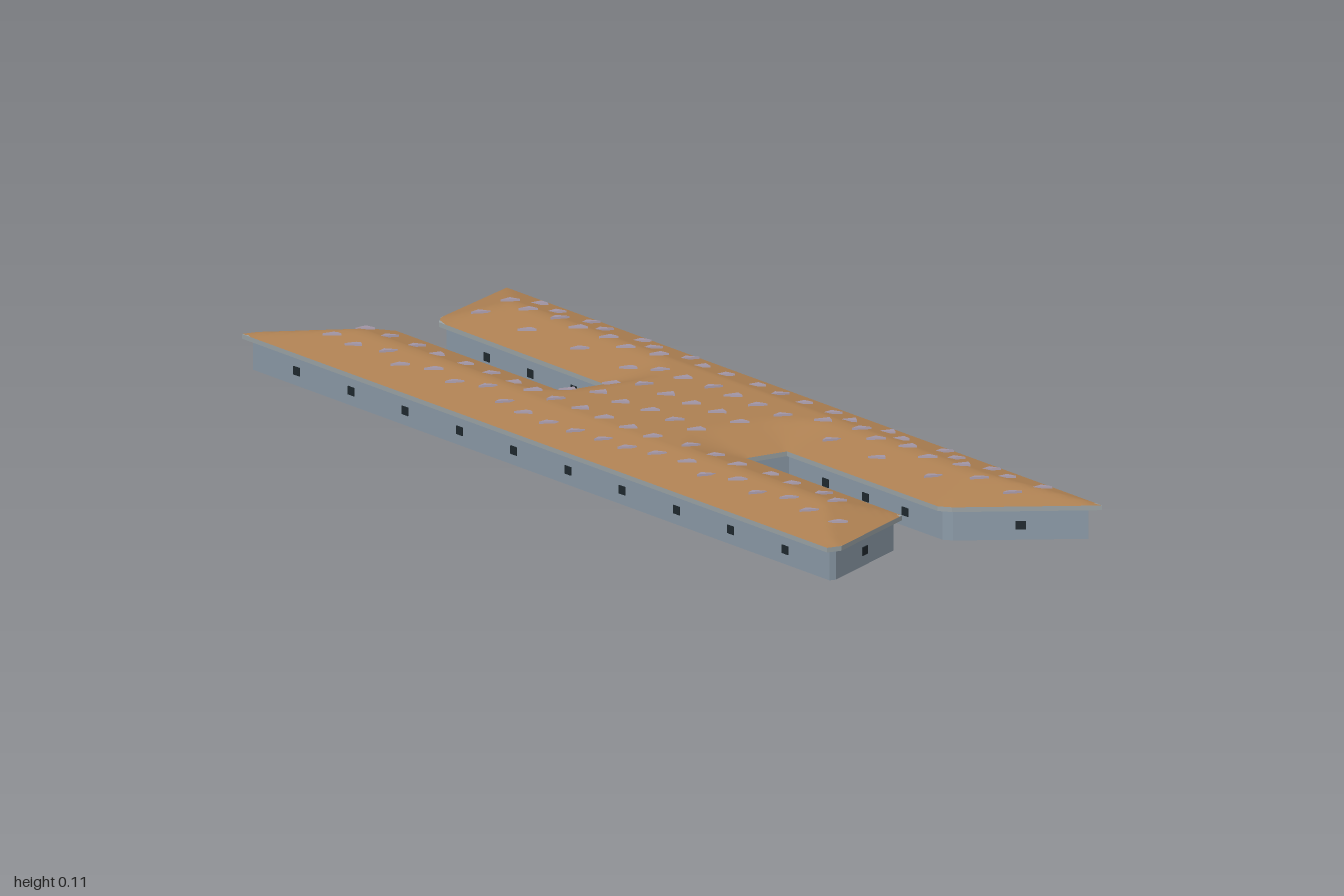
import * as THREE from 'three';
import { mergeGeometries, mergeVertices } from 'three/addons/utils/BufferGeometryUtils.js';

// End edges of the two long bars, each listed from -x to +x as [x, z]
const leftBack = [[-0.414, -0.92], [-0.384, -0.92], [-0.17, -0.83], [-0.15, -0.81]];
const leftFront = [[-0.184, 0.99], [-0.154, 0.99], [0.05, 0.84]];
const rightBack = [[-0.05, -0.83], [-0.03, -0.86], [0.18, -1]];
const rightFront = [[0.14, 0.81], [0.16, 0.83], [0.413, 0.945]];
// Inner ends of the two courtyards
const slotBack = [[-0.085, -0.27], [0.01, -0.28]];
const slotFront = [[-0.01, 0.33], [0.08, 0.32]];

const rev = (a) => [...a].reverse();
const last = (a) => a[a.length - 1];
const mix = (a, b, t) => [a[0] + (b[0] - a[0]) * t, a[1] + (b[1] - a[1]) * t];
const outline = [...leftBack, ...slotBack, ...rightBack,
  ...rev(rightFront), ...rev(slotFront), ...rev(leftFront)];

const EAVE_BOTTOM = 0.058, EAVE_TOP = 0.067, RIDGE = 0.032, SLOPE = 0.28;

// Moves every edge of the outline inwards by d
function inset(pts, d) {
  const n = pts.length;
  const normal = (a, b) => {
    const l = Math.hypot(b[0] - a[0], b[1] - a[1]);
    return [-(b[1] - a[1]) / l, (b[0] - a[0]) / l];
  };
  return pts.map((p, i) => {
    const m = normal(pts[(i + n - 1) % n], p), k = normal(p, pts[(i + 1) % n]);
    const f = d / (1 + m[0] * k[0] + m[1] * k[1]);
    return [p[0] + (m[0] + k[0]) * f, p[1] + (m[1] + k[1]) * f];
  });
}

// Ring between two outlines, extruded upwards
function ring(outer, inner, y, height) {
  const vec = (pts) => pts.map(([x, z]) => new THREE.Vector2(x, -z));
  const shape = new THREE.Shape(vec(outer));
  shape.holes.push(new THREE.Path(vec(rev(inner))));
  return new THREE.ExtrudeGeometry(shape, { depth: height, bevelEnabled: false })
    .rotateX(-Math.PI / 2).translate(0, y, 0);
}

function edgeDistance(x, z) {
  let best = Infinity;
  outline.forEach((a, i) => {
    const b = outline[(i + 1) % outline.length];
    const dx = b[0] - a[0], dz = b[1] - a[1];
    const t = THREE.MathUtils.clamp(((x - a[0]) * dx + (z - a[1]) * dz) / (dx * dx + dz * dz), 0, 1);
    best = Math.min(best, Math.hypot(x - a[0] - dx * t, z - a[1] - dz * t));
  });
  return best;
}
const roofHeight = (x, z) => EAVE_TOP + Math.min(RIDGE, SLOPE * edgeDistance(x, z));

// Point on an end edge at fraction s of its width
function along(line, s) {
  const x = THREE.MathUtils.lerp(line[0][0], last(line)[0], s);
  let i = 0;
  while (i < line.length - 2 && x > line[i + 1][0]) i++;
  return mix(line[i], line[i + 1], (x - line[i][0]) / (line[i + 1][0] - line[i][0]));
}

// Hipped roof surface stretched between a back and a front edge
function roofPatch(back, front, across, length) {
  const geo = new THREE.PlaneGeometry(1, 1, across, length).rotateX(-Math.PI / 2);
  const pos = geo.attributes.position;
  for (let i = 0; i < pos.count; i++) {
    const s = pos.getX(i) + 0.5, t = pos.getZ(i) + 0.5;
    const [x, z] = mix(along(back, s), along(front, s), t);
    pos.setXYZ(i, x, roofHeight(x, z), z);
  }
  geo.deleteAttribute('normal');
  geo.deleteAttribute('uv');
  return geo;
}

// Wings, bar middles and link, welded into one smooth surface
function roofGeometry() {
  const leftA = [mix(leftBack[0], leftFront[0], 0.35), slotBack[0]];
  const leftB = [mix(leftBack[0], leftFront[0], 0.66), slotFront[0]];
  const rightA = [slotBack[1], mix(last(rightBack), last(rightFront), 0.36)];
  const rightB = [slotFront[1], mix(last(rightBack), last(rightFront), 0.69)];
  const geo = mergeVertices(mergeGeometries([
    roofPatch(leftBack, leftA, 26, 24), roofPatch(leftA, leftB, 26, 28),
    roofPatch(leftB, leftFront, 26, 24), roofPatch(slotBack, slotFront, 10, 28),
    roofPatch(rightBack, rightA, 26, 24), roofPatch(rightA, rightB, 26, 28),
    roofPatch(rightB, rightFront, 26, 24),
  ]), 1e-4);
  geo.computeVertexNormals();
  return geo;
}

export function createModel() {
  const model = new THREE.Group();
  const material = (name, color, extra = {}) =>
    Object.assign(new THREE.MeshStandardMaterial({ color, ...extra }), { name });
  const wallMat = material('blue grey wall', 0x8b9aa7);
  const eaveMat = material('pale grey eave', 0x9ba3a5);
  const roofMat = material('brown roof', 0xad8052, { side: THREE.DoubleSide });
  const glassMat = material('dark glass', 0x1f282e);
  const ventMat = material('pale mauve vent', 0xa598a8, { flatShading: true });

  const add = (parent, name, geo, mat) => {
    const mesh = new THREE.Mesh(geo, mat);
    mesh.name = name;
    parent.add(mesh);
    return mesh;
  };

  // Hollow walls, overhanging eave and roof
  const wallLine = inset(outline, 0.014);
  const innerLine = inset(outline, 0.017);
  add(model, 'walls', ring(wallLine, innerLine, 0, EAVE_BOTTOM + 0.004), wallMat);
  add(model, 'eave', ring(outline, innerLine, EAVE_BOTTOM, EAVE_TOP - EAVE_BOTTOM), eaveMat);
  add(model, 'roof', roofGeometry(), roofMat);

  // Evenly spaced windows on every wall except the short ones
  const windows = new THREE.Group();
  windows.name = 'windows';
  const pane = new THREE.BoxGeometry(0.02, 0.016, 0.004);
  wallLine.forEach((a, i) => {
    const b = wallLine[(i + 1) % wallLine.length];
    const dx = b[0] - a[0], dz = b[1] - a[1], len = Math.hypot(dx, dz);
    if (len < 0.15) return;
    const count = Math.round(len / 0.19);
    for (let k = 1; k <= count; k++) {
      const [x, z] = mix(a, b, 0.5 + (k / (count + 1) - 0.5) * 1.035);
      const mesh = add(windows, 'window', pane, glassMat);
      mesh.position.set(x, 0.028, z);
      mesh.rotation.y = Math.atan2(-dz, dx);
    }
  });
  model.add(windows);

  // Small flat triangular roof vents in rows across the building
  let seed = 7;
  const jitter = (size) => ((seed = (seed * 16807) % 2147483647) / 2147483647 - 0.5) * size;
  const vents = new THREE.Group();
  vents.name = 'roofVents';
  const plate = new THREE.CylinderGeometry(0.021, 0.021, 0.004, 3);
  const linkColumns = [-0.235, -0.165, -0.07, 0.025, 0.12, 0.22];
  const wingColumns = [[-0.21, -0.14, 0.115, 0.18, 0.245], [-0.225, -0.15, 0.165, 0.222]];
  for (let k = 0; k <= 20; k++) {
    const columns = k >= 7 && k <= 12 ? linkColumns : wingColumns[k % 2];
    for (const column of columns) {
      const u = column + jitter(0.014), v = -0.79 + k * 0.0826 + jitter(0.01);
      const x = u * 0.993 + v * 0.119, z = v * 0.993 - u * 0.119;
      const turn = 0.5 + jitter(0.8);
      if (edgeDistance(x, z) < 0.035) continue;
      const mesh = add(vents, 'roofVent', plate, ventMat);
      mesh.position.set(x, roofHeight(x, z) + 0.002, z);
      mesh.rotation.set(-0.1, turn, -0.04);
    }
  }
  model.add(vents);
  return model;
}
